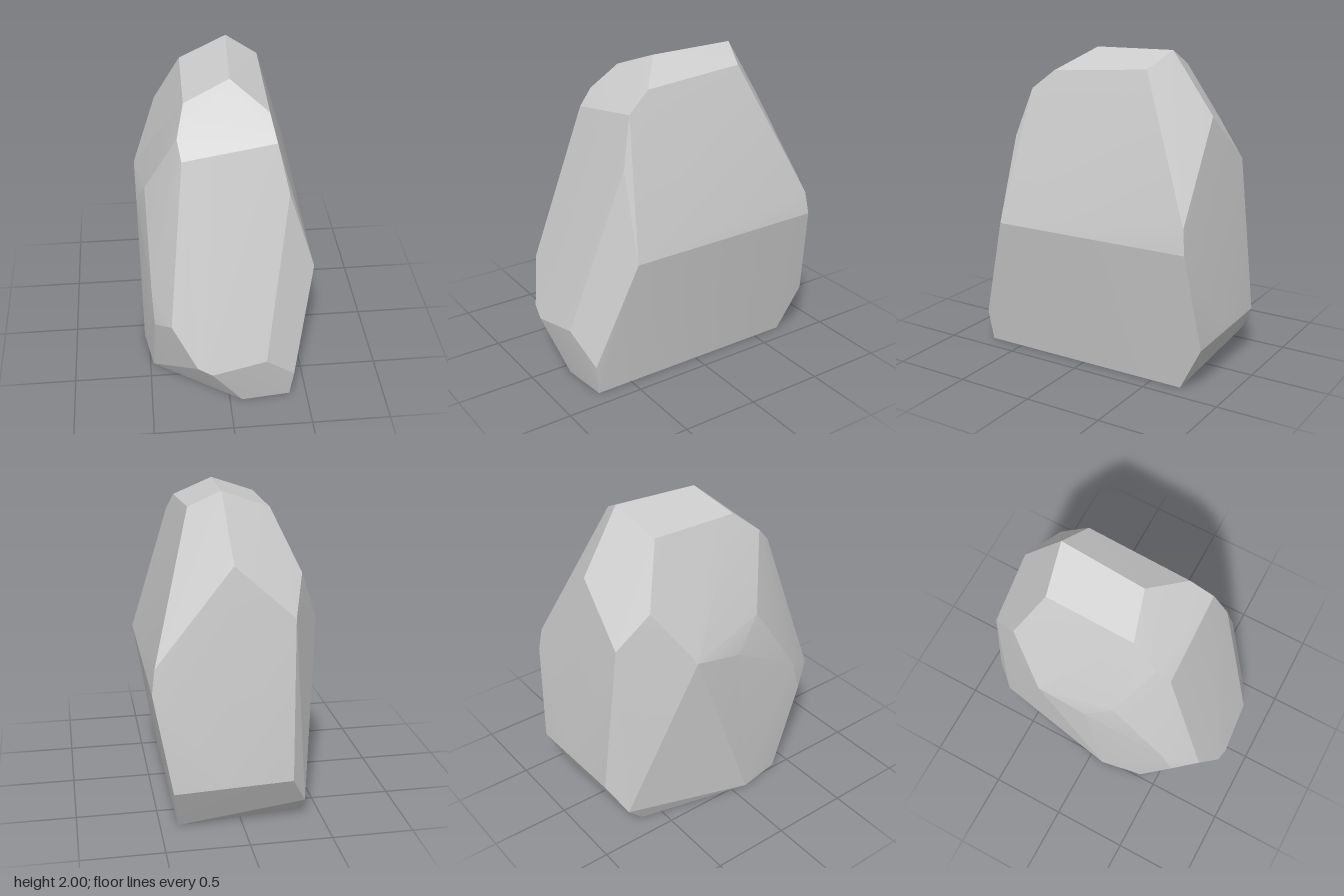
import * as THREE from 'three';
import { ConvexGeometry } from 'three/addons/geometries/ConvexGeometry.js';
import { toCreasedNormals } from 'three/addons/utils/BufferGeometryUtils.js';

// corners of the boulder, grouped by where they lie
const crown = [
  [0.08, 2.0, -0.45], [0.05, 1.985, 0.1],
  [0.27, 1.9, -0.38], [0.27, 1.85, 0.28],
  [-0.22, 1.885, -0.39], [-0.23, 1.88, 0.18],
];
const shoulders = [
  [0.3, 1.73, 0.43], [-0.26, 1.64, 0.44], [-0.28, 1.74, 0.35],
  [0.37, 1.43, 0.515], [-0.48, 1.3, 0.18],
  [-0.385, 1.52, -0.55], [-0.31, 1.3, -0.745], [0.05, 1.62, -0.71],
];
const waist = [
  [0.54, 0.89, 0.53], [0.54, 0.9, -0.79], [0.52, 1.05, -0.77],
  [-0.54, 1.17, -0.32], [-0.535, 1.1, 0.0],
  [-0.47, 0.78, 0.53], [-0.46, 0.55, 0.6], [-0.36, 0.65, 0.75],
];
const skirt = [
  [0.22, 0.39, 0.83], [-0.12, 0.33, 0.86], [-0.21, 0.38, 0.845], [0.41, 0.2, 0.76],
  [0.43, 0.29, -0.855], [0.12, 0.33, -0.855], [-0.29, 0.32, -0.855], [-0.39, 0.13, -0.75],
];
const base = [
  [0.39, 0, 0.735], [0.08, 0, 0.765], [-0.48, 0, 0.385],
  [-0.53, 0, 0.1], [-0.36, 0, -0.63], [0.39, 0, -0.7],
];

export function createModel() {
  const group = new THREE.Group();
  group.name = 'rock';

  // facets span the corners; almost flat neighbours blend, real ridges stay sharp
  const points = [...crown, ...shoulders, ...waist, ...skirt, ...base]
    .map((p) => new THREE.Vector3(...p));
  const geometry = toCreasedNormals(new ConvexGeometry(points), 0.2);
  const boulder = new THREE.Mesh(geometry, new THREE.MeshStandardMaterial({ color: 0xcccccc }));
  boulder.name = 'boulder';
  group.add(boulder);
  return group;
}
